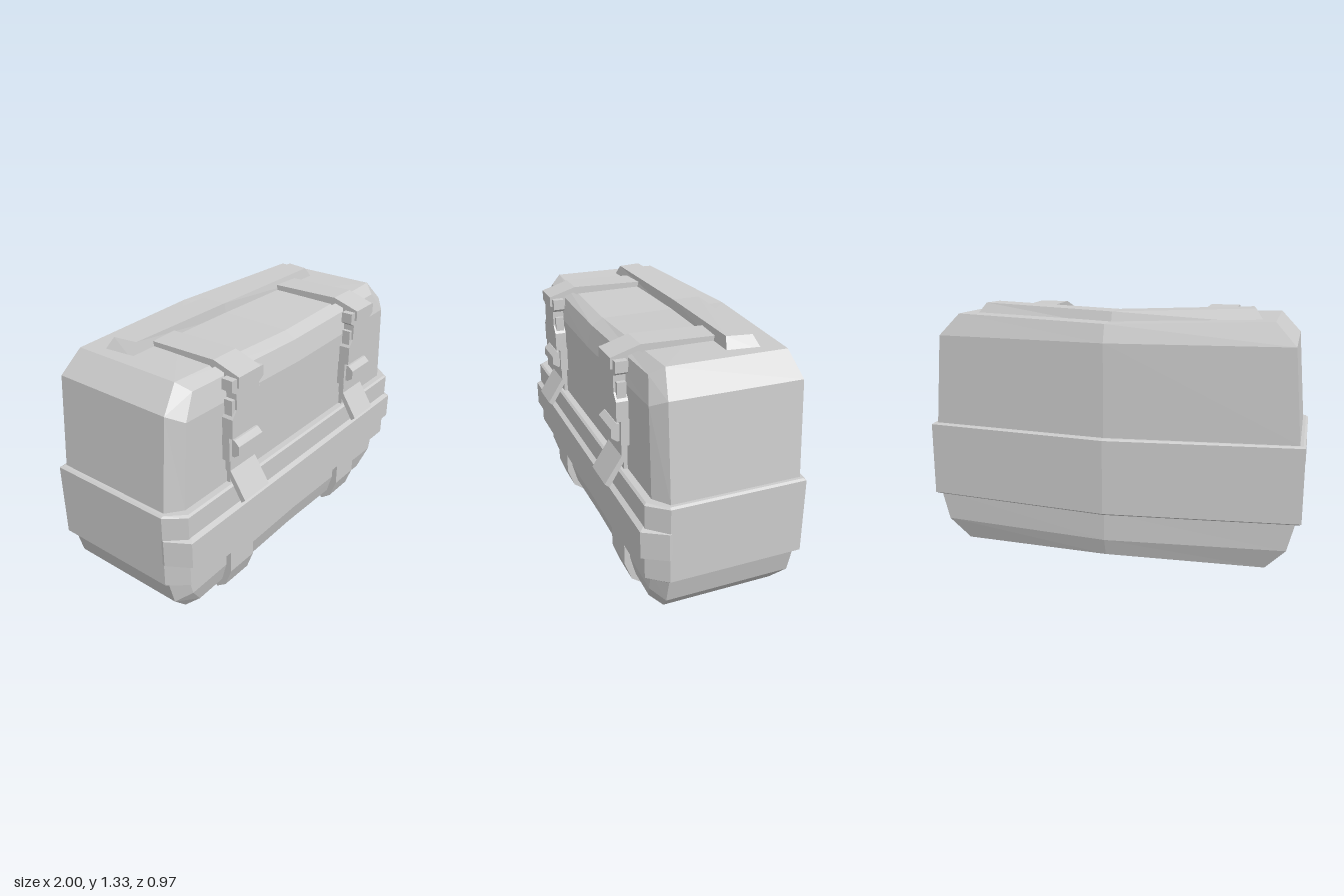
import * as THREE from 'three';

const material = new THREE.MeshStandardMaterial({ color: 0xcccccc, flatShading: true });

function add(parent, name, geometry) {
  const mesh = new THREE.Mesh(geometry, material);
  mesh.name = name;
  parent.add(mesh);
  return mesh;
}

// Closed solid from stacked rings, bottom to top. Each ring lists its +x half,
// from the back centre to the front centre; the other half is mirrored.
function loft(halves) {
  const n = halves[0].length;
  const rings = halves.map(h => [...h, ...h.slice(1, -1).reverse().map(([x, y, z]) => [-x, y, z])]);
  const count = rings[0].length;
  const out = [];
  const tri = (a, b, c) => out.push(...a, ...b, ...c);
  for (let r = 0; r < rings.length - 1; r++) {
    const lo = rings[r], hi = rings[r + 1];
    for (let i = 0; i < count; i++) {
      const j = (i + 1) % count;
      tri(lo[i], hi[i], hi[j]);
      tri(lo[i], hi[j], lo[j]);
    }
  }
  // caps, fanned half by half so the bend stays on the centre line
  const bottom = rings[0], top = rings[rings.length - 1];
  for (let i = 1; i < count - 1; i++) {
    tri(top[0], top[i + 1], top[i]);
    tri(bottom[0], bottom[i], bottom[i + 1]);
  }
  const g = new THREE.BufferGeometry();
  g.setAttribute('position', new THREE.Float32BufferAttribute(out, 3));
  g.computeVertexNormals();
  return g;
}

// Side profile given as [z, y] points, extruded across x
function sideExtrude(points, width) {
  const shape = new THREE.Shape(points.map(p => new THREE.Vector2(...p)));
  const g = new THREE.ExtrudeGeometry(shape, { depth: width, bevelEnabled: false });
  return g.rotateY(-Math.PI / 2).translate(width / 2, 0, 0);
}

// Front outline given as its +x half of [x, y] points, extruded from z0 to z1
function frontExtrude(half, z0, z1) {
  const all = [...half, ...half.slice().reverse().map(([x, y]) => [-x, y])];
  const shape = new THREE.Shape(all.map(p => new THREE.Vector2(...p)));
  return new THREE.ExtrudeGeometry(shape, { depth: z1 - z0, bevelEnabled: false }).translate(0, 0, z0);
}

function box(w, y0, y1, z0, z1) {
  return new THREE.BoxGeometry(w, y1 - y0, z1 - z0).translate(0, (y0 + y1) / 2, (z0 + z1) / 2);
}

function buildBody(group) {
  // bevelled end of the case: shoulder ring, front bevel ring, flat face
  const upperEnd = [
    [[0, 1.17, -0.45], [0.93, 1.17, -0.36], [0.93, 1.17, 0.30], [0.86, 1.13, 0.36], [0, 1.11, 0.36]],
    [[0, 1.17, -0.45], [0.93, 1.17, -0.36], [0.93, 1.17, 0.30], [0.78, 1.24, 0.33], [0, 1.22, 0.33]],
    [[0, 1.262, -0.42], [0.825, 1.285, -0.33], [0.825, 1.285, 0.27], [0.825, 1.285, 0.27], [0, 1.255, 0.27]],
  ];
  const lowerEnd = upperEnd.map(r => r.map(([x, y, z]) => [x, 1.305 - y, z])).reverse();
  const waist = y => [[0, y, -0.452], [0.97, y, -0.36], [0.97, y, 0.30], [0.89, y, 0.36], [0, y, 0.36]];
  add(group, 'caseBody', loft([...lowerEnd, waist(0.29), waist(0.69), ...upperEnd]));

  // wide band around the middle
  const band = (y, d) => [[0, y, -0.483 + d], [0.998 - d, y, -0.38 + d], [0.998 - d, y, 0.31],
    [0.92 - d, y, 0.405 - d], [0, y, 0.405 - d]];
  add(group, 'middleBand', loft([band(0.283, 0.012), band(0.292, 0), band(0.682, 0), band(0.69, 0.012)]));

  // raised rib along the front of the band
  const rib = (y, d) => [[0, y, 0], [0.95, y, 0], [1.0 - d, y, 0.315 - d], [0.93 - d, y, 0.43 - d], [0, y, 0.43 - d]];
  add(group, 'frontRib', loft([rib(0.4, 0.03), rib(0.415, 0), rib(0.555, 0), rib(0.57, 0.03)]));

  // bent ridge on the lid
  add(group, 'lidRidge', loft([
    [[0, 1.235, -0.30], [0.77, 1.265, -0.235], [0.75, 1.265, -0.06], [0, 1.235, -0.115]],
    [[0, 1.31, -0.275], [0.72, 1.335, -0.205], [0.70, 1.335, -0.08], [0, 1.31, -0.125]],
  ]));
}

function buildStrap(x) {
  const strap = new THREE.Group();
  strap.name = x > 0 ? 'leftStrap' : 'rightStrap';
  strap.position.x = x;

  // webbing over the lid, ending in a hook
  add(strap, 'topStrap', sideExtrude([
    [-0.1, 1.25], [0.27, 1.26], [0.3, 1.28], [0.35, 1.265], [0.35, 1.21], [0.375, 1.21], [0.375, 1.245],
    [0.415, 1.235], [0.415, 1.21], [0.437, 1.21], [0.437, 1.265], [0.29, 1.31], [-0.1, 1.302],
  ], 0.16));

  // buckle with notched sides
  add(strap, 'buckle', frontExtrude([
    [0.115, 0.96], [0.115, 1.06], [0.083, 1.1], [0.083, 1.18], [0.115, 1.2], [0.115, 1.255],
  ], 0.365, 0.425));
  for (const s of [-1, 1]) {
    add(strap, 'buckleProng', box(0.025, 1.06, 1.15, 0.37, 0.415)).position.x = s * 0.092;
  }
  add(strap, 'bucklePlate', box(0.222, 0.83, 0.965, 0.355, 0.402));
  add(strap, 'buckleTab', sideExtrude([
    [0.39, 0.85], [0.415, 0.85], [0.443, 0.87], [0.443, 0.915], [0.415, 0.94], [0.39, 0.94],
  ], 0.18));

  // loose webbing tail
  add(strap, 'strapTail', sideExtrude([
    [0.365, 0.85], [0.365, 0.77], [0.46, 0.615], [0.483, 0.635], [0.395, 0.77], [0.395, 0.85],
  ], 0.19));
  add(strap, 'strapBack', box(0.16, 0.68, 1.0, 0.35, 0.38));

  // webbing below the band, wrapping under the case
  add(strap, 'lowerStrap', sideExtrude([
    [0.35, 0.3], [0.35, 0.17], [0.32, 0.07], [0.265, 0.035], [0.28, 0.018], [0.295, 0.003],
    [0.352, 0.045], [0.39, 0.15], [0.39, 0.3],
  ], 0.185));
  return strap;
}

export function createModel() {
  const model = new THREE.Group();
  model.name = 'hardCase';
  buildBody(model);
  for (const x of [-0.51, 0.51]) model.add(buildStrap(x));
  return model;
}
